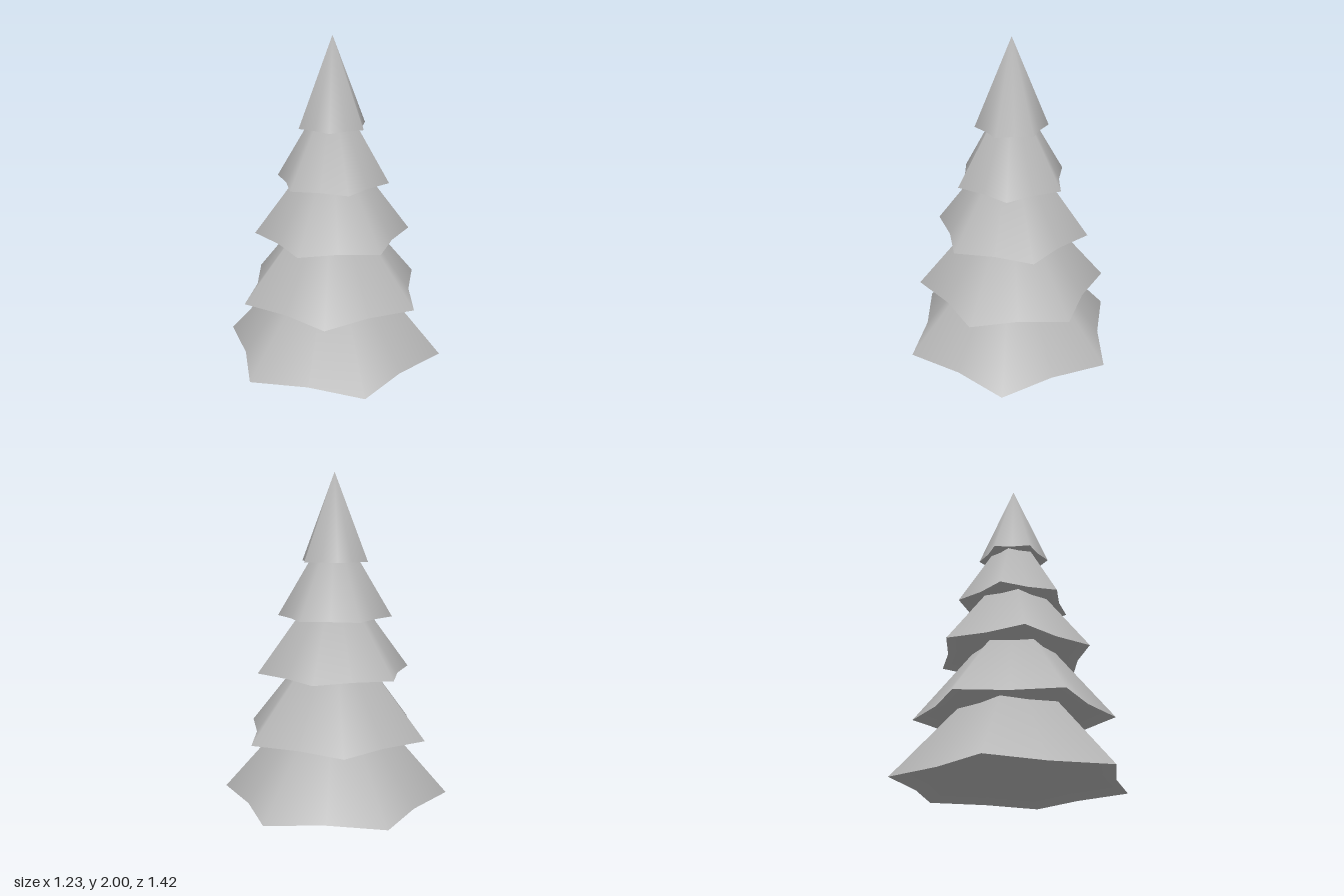
import * as THREE from 'three';

const POINTS = 6;        // star points per tier
const VALLEY = 0.82;     // valley radius relative to the tips

// Corner positions of one star-shaped ring.
function starRing(r, y, turn) {
  const n = POINTS * 2, pos = [];
  for (let i = 0; i < n; i++) {
    const a = THREE.MathUtils.degToRad(turn) + (i / n) * Math.PI * 2;
    const s = i % 2 ? r * VALLEY : r;
    pos.push(s * Math.cos(a), y, s * Math.sin(a));
  }
  return pos;
}

// Indexed geometry with normals smooth all the way round.
function smoothGeometry(pos, index) {
  const geo = new THREE.BufferGeometry();
  geo.setAttribute('position', new THREE.Float32BufferAttribute(pos, 3));
  geo.setIndex(index);
  geo.computeVertexNormals();
  return geo;
}

// Star ring joined to one centre point; faces up, or down for an underside.
function starCone(r, y, tipY, turn, down) {
  const n = POINTS * 2, index = [];
  for (let i = 0; i < n; i++) {
    const j = (i + 1) % n;
    index.push(...(down ? [i, j, n] : [j, i, n]));
  }
  return smoothGeometry([...starRing(r, y, turn), 0, tipY, 0], index);
}

// Band between an inner and an outer star ring, facing down.
function starLip(rIn, yIn, rOut, yOut, turn) {
  const n = POINTS * 2, index = [];
  for (let i = 0; i < n; i++) {
    const j = (i + 1) % n;
    index.push(i, n + i, n + j, i, n + j, j);
  }
  return smoothGeometry([...starRing(rIn, yIn, turn), ...starRing(rOut, yOut, turn)], index);
}

export function createModel() {
  const tree = new THREE.Group();
  tree.name = 'tree';
  const grey = new THREE.MeshStandardMaterial({ color: 0xb8b8b8 });
  grey.name = 'plain grey';

  // Bottom y, apex y, tip radius, turn of the star in degrees
  const tiers = [
    [0.0, 0.81, 0.71, 30],
    [0.395, 1.115, 0.6, 50],
    [0.785, 1.44, 0.487, 70],
    [1.125, 1.725, 0.355, 90],
    [1.463, 2.0, 0.222, 110],
  ];

  tiers.forEach(([y, apex, r, turn], i) => {
    const tier = new THREE.Group();
    tier.name = `branchTier${i + 1}`;
    const inner = r * 0.87, recess = y + r * 0.045;

    // Sloping branches, underside lip and recessed underside
    const parts = {
      branches: starCone(r, y, apex, turn, false),
      lip: starLip(inner, recess, r, y, turn),
      underside: starCone(inner, recess, recess, turn, true),
    };
    for (const [name, geometry] of Object.entries(parts)) {
      const mesh = new THREE.Mesh(geometry, grey);
      mesh.name = name;
      tier.add(mesh);
    }
    tree.add(tier);
  });
  return tree;
}
